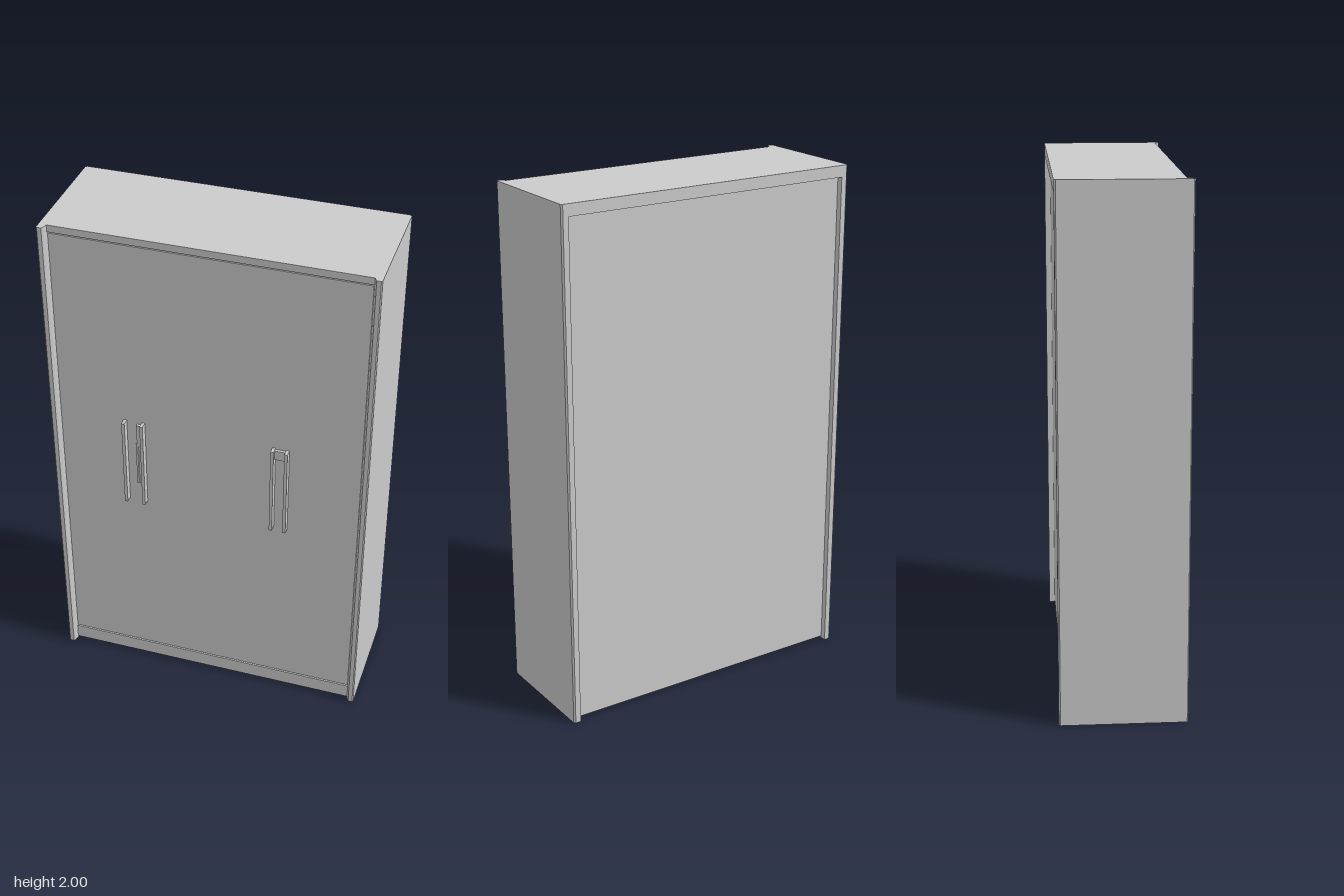
import * as THREE from 'three';

export function createModel() {
  const group = new THREE.Group();
  const material = new THREE.MeshStandardMaterial({ color: 0xcccccc });

  // Box given by its min and max on each axis
  function box(name, [x0, x1], [y0, y1], [z0, z1], parent = group) {
    const mesh = new THREE.Mesh(new THREE.BoxGeometry(x1 - x0, y1 - y0, z1 - z0), material);
    mesh.name = name;
    mesh.position.set((x0 + x1) / 2, (y0 + y1) / 2, (z0 + z1) / 2);
    parent.add(mesh);
    return mesh;
  }

  // Side panels: plan outline with small bevels, lip standing proud of the doors
  function sidePanel(name, side, front) {
    const outline = [
      [0.59, -0.24], [0.612, -0.24], [0.618, -0.234], [0.618, front - 0.004],
      [0.614, front], [0.598, front], [0.592, front - 0.01], [0.588, 0.21],
    ].map(([x, z]) => new THREE.Vector2(x * side, -z));
    const geometry = new THREE.ExtrudeGeometry(new THREE.Shape(outline), { depth: 2, bevelEnabled: false });
    geometry.rotateX(-Math.PI / 2);
    const mesh = new THREE.Mesh(geometry, material);
    mesh.name = name;
    group.add(mesh);
  }
  sidePanel('leftSidePanel', 1, 0.228);
  sidePanel('rightSidePanel', -1, 0.238);

  // Carcass: top, recessed back, raised floor and front plinth
  box('topPanel', [-0.6, 0.6], [1.972, 2], [-0.24, 0.212]);
  box('backTopRail', [-0.6, 0.6], [1.955, 1.98], [-0.24, -0.2]);
  box('backPanel', [-0.6, 0.6], [0.008, 1.98], [-0.217, -0.2]);
  box('floorPanel', [-0.6, 0.6], [0.045, 0.068], [-0.21, 0.2]);
  box('plinth', [-0.6, 0.6], [0.008, 0.068], [0.185, 0.212]);

  // Flush double doors, with a shadow gap above and below
  box('leftDoor', [0, 0.587], [0.073, 1.967], [0.19, 0.21]);
  box('rightDoor', [-0.587, 0], [0.073, 1.967], [0.19, 0.21]);
  box('doorBacking', [-0.595, 0.595], [0.06, 1.98], [0.18, 0.203]);

  // Handles: pairs of thin upright strips standing off the doors
  function handle(name, x0, x1) {
    const g = new THREE.Group();
    g.name = name;
    group.add(g);
    for (const x of [x0, x1]) box('handleStrip', [x - 0.006, x + 0.006], [0.835, 1.21], [0.205, 0.238], g);
    return g;
  }
  const left = handle('leftHandle', 0.255, 0.308);
  box('handleBridge', [0.255, 0.308], [1.165, 1.205], [0.207, 0.221], left);

  const right = handle('rightHandle', -0.327, -0.255);
  box('handleInnerStrip', [-0.286, -0.278], [0.92, 1.11], [0.205, 0.217], right);
  box('handleTab', [-0.28, -0.255], [1.1, 1.2], [0.207, 0.221], right);

  return group;
}
